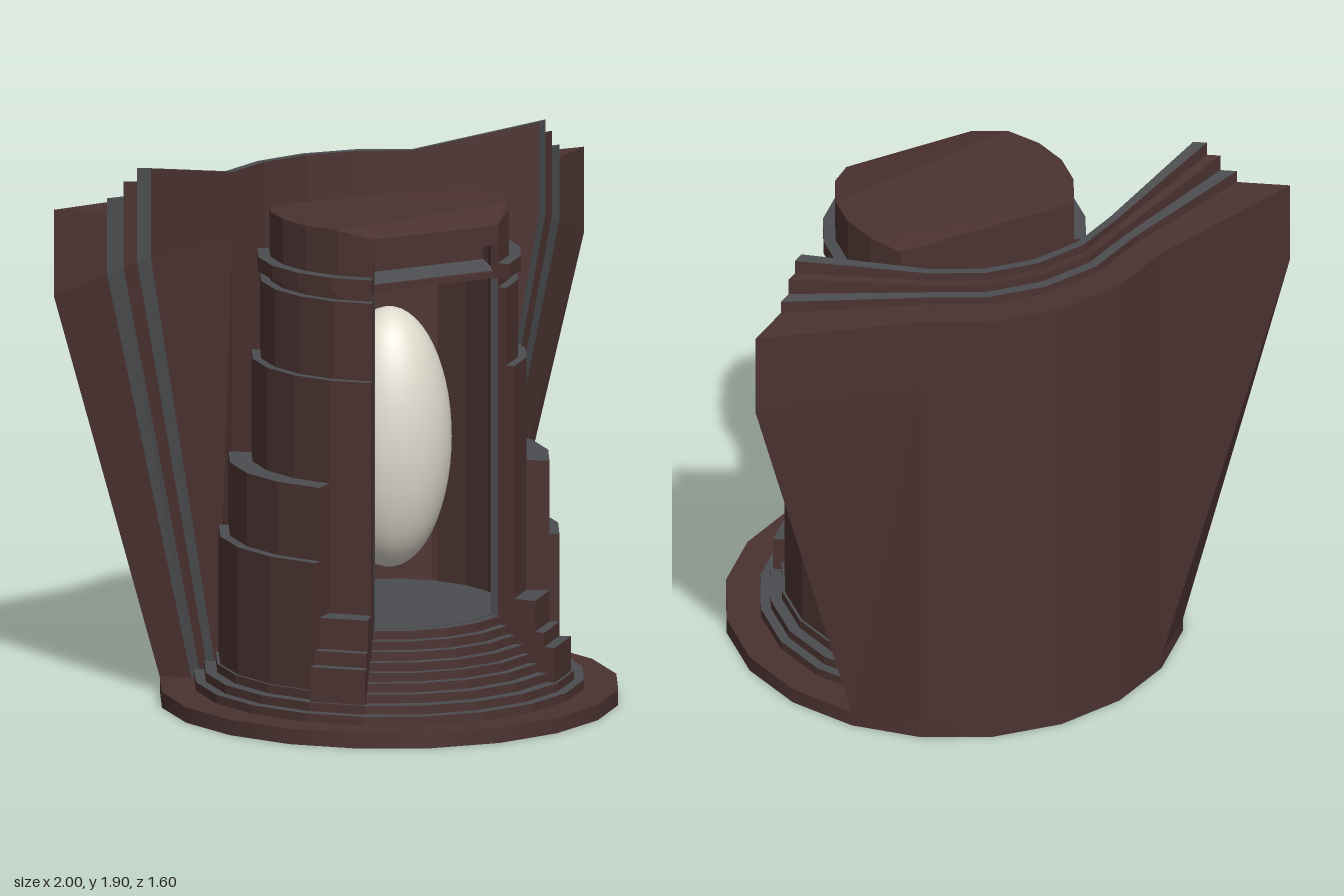
import * as THREE from 'three';

const brown = new THREE.MeshStandardMaterial({ color: 0x4b3331, side: THREE.DoubleSide });
brown.name = 'darkBrownStone';
const grey = new THREE.MeshStandardMaterial({ color: 0x4c4d50, side: THREE.DoubleSide });
grey.name = 'greyTrim';
const ivory = new THREE.MeshStandardMaterial({ color: 0xdedacd });
ivory.name = 'ivory';

const STEP = 18; // everything round has twenty sides
const rad = THREE.MathUtils.degToRad;
const around = (r, deg) => [r * Math.sin(rad(deg)), r * Math.cos(rad(deg))]; // 0 = front, as [x, z]

function add(parent, name, geometry, material) {
  const mesh = new THREE.Mesh(geometry, material);
  mesh.name = name;
  parent.add(mesh);
  return mesh;
}

// Upright prism over a plan outline of [x, z] points
function prism(plan, y0, y1) {
  const shape = new THREE.Shape(plan.map(([x, z]) => new THREE.Vector2(x, -z)));
  return new THREE.ExtrudeGeometry(shape, { depth: y1 - y0, bevelEnabled: false })
    .rotateX(-Math.PI / 2).translate(0, y0, 0);
}

// Sector of a faceted ring between two angles
function sector(r0, r1, y0, y1, a0, a1) {
  const outer = [], inner = [];
  for (let a = a0; a <= a1; a += STEP) {
    outer.push(around(r1, a));
    inner.unshift(around(r0, a));
  }
  return prism([...outer, ...(r0 > 0 ? inner : [[0, 0]])], y0, y1);
}

// Flat-shaded surface over a grid of points
function sheet(rows) {
  const pos = [];
  for (let i = 0; i < rows.length - 1; i++) {
    for (let j = 0; j < rows[i].length - 1; j++) {
      const [a, b, c, d] = [rows[i][j], rows[i + 1][j], rows[i + 1][j + 1], rows[i][j + 1]];
      pos.push(...a, ...b, ...c, ...a, ...c, ...d);
    }
  }
  const g = new THREE.BufferGeometry();
  g.setAttribute('position', new THREE.Float32BufferAttribute(pos, 3));
  g.computeVertexNormals();
  return g;
}

function makeBase() {
  const base = new THREE.Group();
  base.name = 'base';
  add(base, 'baseDisc', new THREE.CylinderGeometry(0.8, 0.8, 0.055, 20).translate(0, 0.0275, 0), brown);
  const radii = [0.68, 0.645, 0.605, 0.57, 0.54, 0.515, 0.485, 0.455, 0.425];
  radii.forEach((r, k) => {
    const y = 0.055 + 0.031 * k;
    add(base, 'frontStep', sector(0, r, y, y + 0.031, -126, 126), [grey, brown]);
    add(base, 'backStep', sector(0, r, y, y + 0.031, 126, 234), brown);
  });
  add(base, 'chamberFloor', new THREE.CylinderGeometry(0.39, 0.39, 0.004, 20).translate(0, 0.336, 0), grey);
  return base;
}

// One curved side of the chamber, with terraces and front piers
function makeSide(s) {
  const side = new THREE.Group();
  side.name = s > 0 ? 'leftWall' : 'rightWall';
  const tiers = [ // name, inner radius, outer radius, bottom, top, first angle, last angle
    ['liner', 0.39, 0.418, 0.33, 1.655, 36, 126],
    ['upperTerrace', 0.418, 0.45, 0.055, 1.5, 36, 126],
    ['collar', 0.418, 0.46, 1.535, 1.585, 36, 126],
    ['middleTerrace', 0.45, 0.48, 0.055, 1.225, 36, 126],
    ['lowerTerrace', 0.48, 0.56, 0.055, 0.86, 54, 126],
    ['bottomTerrace', 0.56, 0.595, 0.055, 0.6, 54, 126],
    ['innerPier', 0.48, 0.56, 0.055, 0.4, 36, 54],
    ['middlePier', 0.56, 0.595, 0.055, 0.29, 36, 54],
    ['outerPier', 0.595, 0.635, 0.055, 0.24, 36, 54],
  ];
  for (const [name, r0, r1, y0, y1, a, b] of tiers) {
    const g = s > 0 ? sector(r0, r1, y0, y1, a, b) : sector(r0, r1, y0, y1, -b, -a);
    add(side, name, g, [grey, brown]);
  }
  // grey jamb facing on the doorway edge
  const column = (r) => {
    const [x, z] = around(r, 35.8 * s);
    return [[x, 0.33, z], [x, 1.53, z]];
  };
  const ends = [column(0.39), column(0.418)];
  add(side, 'doorJamb', sheet(s > 0 ? ends.reverse() : ends), grey);
  return side;
}

function makeRoof() {
  const roof = new THREE.Group();
  roof.name = 'roof';
  const plan = [];
  for (let a = 36; a <= 126; a += STEP) plan.push(around(0.418, a));
  for (let a = 234; a <= 324; a += STEP) plan.push(around(0.418, a));
  const slab = prism(plan, 1.65, 1.745);
  // the front and back edges dip a little
  const p = slab.attributes.position;
  for (let i = 0; i < p.count; i++) {
    if (p.getY(i) < 1.7) continue;
    if (p.getZ(i) > 0.33) p.setY(i, 1.72);
    else if (p.getZ(i) < -0.24) p.setY(i, 1.735);
  }
  slab.computeVertexNormals();
  add(roof, 'roofSlab', slab, brown);

  // front lintel with a sloped grey ledge
  const profile = [[0.325, 1.53], [0.325, 1.555], [0.24, 1.578], [0.24, 1.655], [0.2, 1.655], [0.2, 1.53]];
  const lintel = new THREE.ExtrudeGeometry(
    new THREE.Shape(profile.map(([z, y]) => new THREE.Vector2(z, y))), { depth: 0.48, bevelEnabled: false });
  add(roof, 'frontLintel', lintel.translate(0, 0, -0.24).rotateY(-Math.PI / 2), brown);
  add(roof, 'lintelLedge', sheet([
    [[-0.24, 1.558, 0.325], [-0.24, 1.581, 0.24]],
    [[0.24, 1.558, 0.325], [0.24, 1.581, 0.24]],
  ]), grey);
  add(roof, 'backLintel', new THREE.BoxGeometry(0.66, 0.16, 0.03).translate(0, 1.58, -0.23), brown);
  return roof;
}

// Tall layered screen that curves round the back and flares at both ends
function makeScreen() {
  const screen = new THREE.Group();
  screen.name = 'backScreen';
  const angles = [-54, -36, -18, 0, 18, 36, 54];
  const mix = THREE.MathUtils.lerp;
  // Column of points at depth t (0 = inner face, 1 = outer face)
  const column = (t, a, endTop, midTop) => {
    const [x, z] = around(0.6 + 0.2 * t, 180 - a);
    const isEnd = Math.abs(a) === 54;
    const ux = isEnd ? Math.sign(a) * mix(0.765, 1.044, t) : x;
    const uz = isEnd ? mix(-0.32, -0.51, t) : z;
    return [[x, 0.05, z], [ux, 1.585 - 0.145 * t, uz], [ux, isEnd ? endTop : midTop, uz]];
  };
  const layers = [ // inner depth, outer depth, end height, middle height, trim
    [0, 0.14, 1.9, 1.81, grey],
    [0.14, 0.28, 1.85, 1.78, brown],
    [0.28, 0.45, 1.79, 1.75, grey],
    [0.45, 1, 1.745, 1.72, brown],
  ];
  layers.forEach(([t0, t1, endTop, midTop, trim], k) => {
    const inner = angles.map((a) => column(t0, a, endTop, midTop));
    const outer = angles.map((a) => column(t1, a, endTop, midTop));
    const last = angles.length - 1;
    if (k === 0) add(screen, 'screenInnerFace', sheet(inner), brown);
    add(screen, 'screenOuterFace', sheet([...outer].reverse()), brown);
    add(screen, 'screenTop', sheet(inner.map((c, i) => [c[2], outer[i][2]])), trim);
    add(screen, 'screenLeftEnd', sheet([inner[last], outer[last]]), trim);
    add(screen, 'screenRightEnd', sheet([outer[0], inner[0]]), trim);
  });
  return screen;
}

export function createModel() {
  const model = new THREE.Group();
  model.name = 'shrine';
  const body = new THREE.Group();
  body.name = 'shrineBody';
  body.add(makeBase(), makeSide(1), makeSide(-1), makeRoof(), makeScreen());

  // floating egg inside the chamber
  const egg = add(body, 'egg', new THREE.SphereGeometry(1, 40, 28), ivory);
  egg.scale.set(0.217, 0.46, 0.217);
  egg.position.y = 0.93;

  body.rotation.y = 0.285;
  body.position.x = 0.14;
  model.add(body);
  return model;
}
